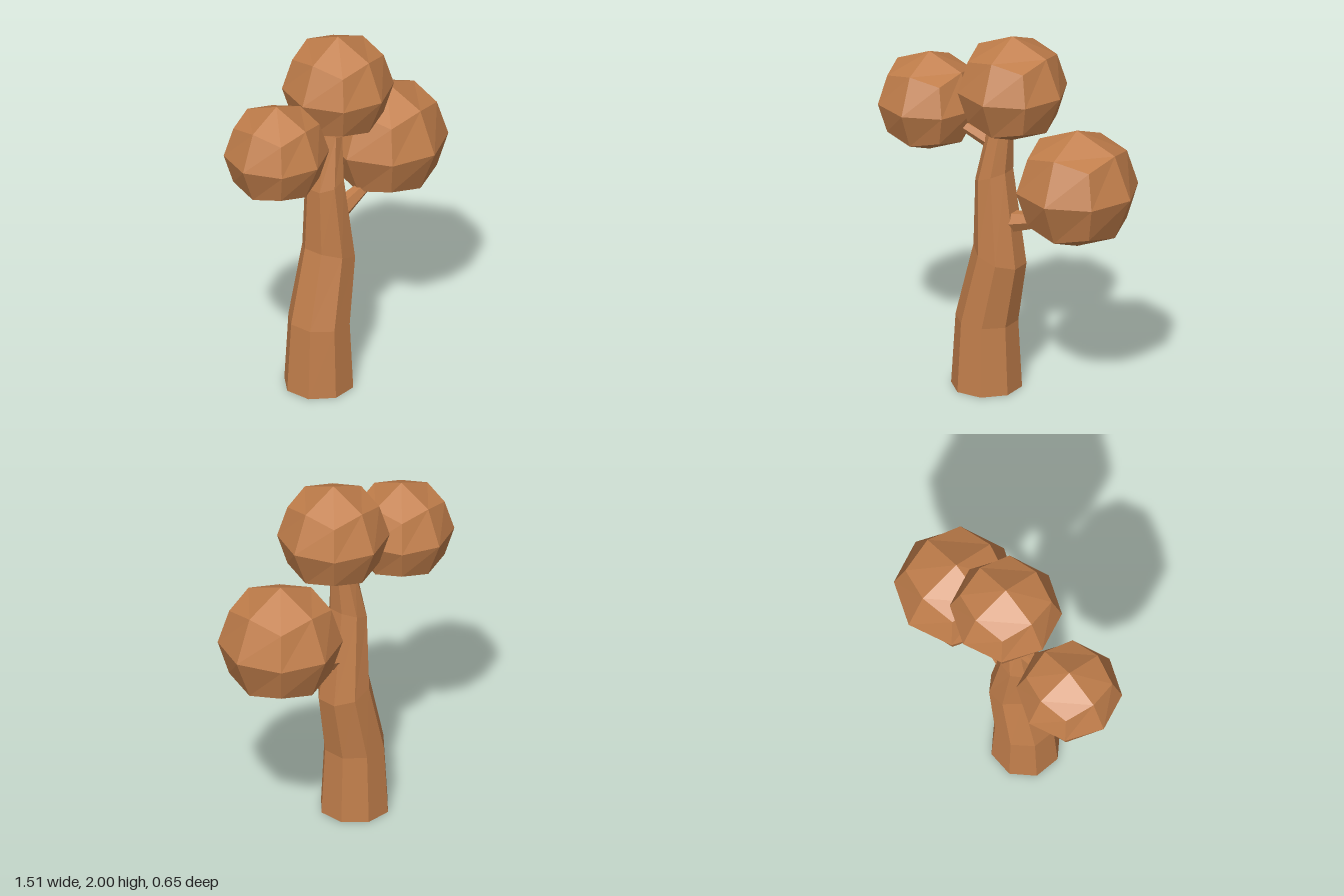
import * as THREE from 'three';

// Tube through tilted rings, listed from bottom to top: [x, y, tilt, radiusAcross, radiusZ]
function loft(rings, sides, turn) {
  const n = rings.length - 1;
  const geo = new THREE.CylinderGeometry(1, 1, 1, sides, n);
  geo.rotateY(turn);
  const pos = geo.attributes.position;
  for (let i = 0; i < pos.count; i++) {
    const [x, y, tilt, ra, rz] = rings[Math.round((pos.getY(i) + 0.5) * n)];
    const across = pos.getX(i) * ra;
    pos.setXYZ(i, x + across * Math.cos(tilt), y + across * Math.sin(tilt), pos.getZ(i) * rz);
  }
  return geo;
}

// Tapered six-sided branch between two points in the z = 0 plane
function branch(x0, y0, r0, x1, y1, r1) {
  const tilt = Math.atan2(y1 - y0, x1 - x0) - Math.PI / 2;
  return loft([[x0, y0, tilt, r0, r0], [x1, y1, tilt, r1, r1]], 6, 0);
}

// Subdivided cube pushed out to a sphere: 24 faceted quads
function foliage(radius) {
  const geo = new THREE.BoxGeometry(1, 1, 1, 2, 2, 2);
  const pos = geo.attributes.position;
  const v = new THREE.Vector3();
  for (let i = 0; i < pos.count; i++) {
    v.fromBufferAttribute(pos, i).setLength(radius);
    pos.setXYZ(i, v.x, v.y, v.z);
  }
  return geo;
}

export function createModel() {
  const group = new THREE.Group();
  const brown = new THREE.MeshStandardMaterial({ color: 0xc17e4b });
  brown.name = 'brown';
  brown.flatShading = true;

  const add = (name, geo, x = 0, y = 0) => {
    geo.computeVertexNormals();
    const mesh = new THREE.Mesh(geo, brown);
    mesh.name = name;
    mesh.position.set(x, y, 0);
    group.add(mesh);
  };

  // Crooked eight-sided trunk
  add('trunk', loft([
    [-0.13, 0, 0, 0.187, 0.187],
    [-0.128, 0.382, -0.05, 0.165, 0.167],
    [-0.048, 0.757, -0.34, 0.147, 0.145],
    [-0.083, 1.2, 0.36, 0.105, 0.107],
    [-0.043, 1.452, -0.33, 0.071, 0.071],
  ], 8, Math.PI / 8));

  // Side branches
  add('leftBranch', branch(0, 0.95, 0.063, 0.27, 1.015, 0.031));
  add('rightBranch', branch(-0.06, 1.367, 0.046, -0.28, 1.438, 0.031));

  // Faceted foliage balls
  add('topFoliage', foliage(0.293), 0.028, 1.707);
  add('leftFoliage', foliage(0.326), 0.425, 1.23);
  add('rightFoliage', foliage(0.276), -0.48, 1.528);

  return group;
}
